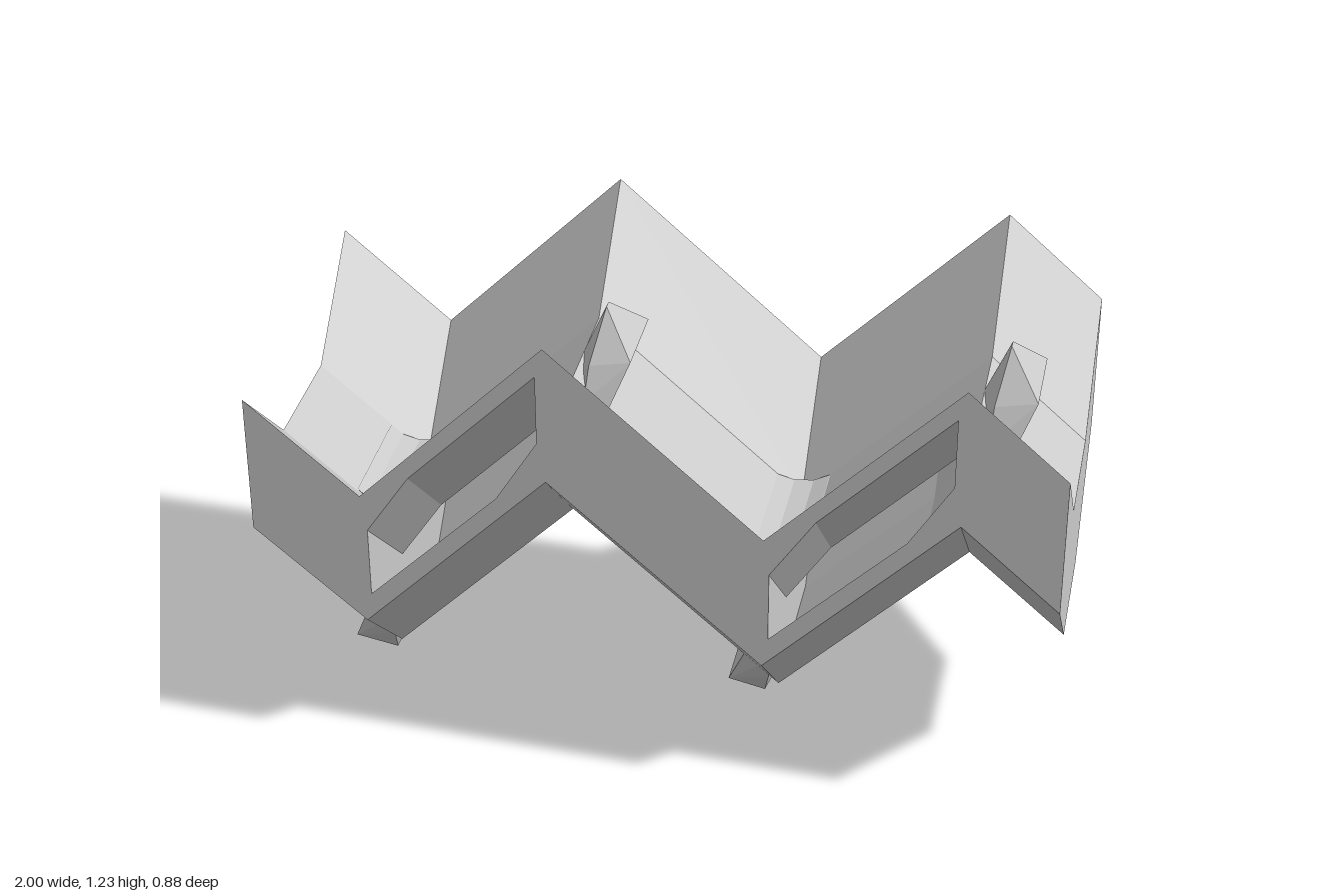
import * as THREE from 'three';
import { ConvexGeometry } from 'three/addons/geometries/ConvexGeometry.js';

const PITCH = 1.003; // length of one zigzag
const THICK = 0.37;  // vertical thickness of the band
const DROP = 0.255;  // how far the flat centre hangs below the side edges

const grey = new THREE.MeshStandardMaterial({ color: 0xcacaca, flatShading: true });
grey.name = 'light grey';

const named = (geometry, name) => {
  const mesh = new THREE.Mesh(geometry, grey);
  mesh.name = name;
  return mesh;
};
const vectors = (points) => points.map(([x, y]) => new THREE.Vector2(x, y));

// Zigzag band: side outline with slanted six-sided tunnels, swept through a V
function bandGeometry() {
  const top = [[-1, 1.006], [-0.72, 0.763], [-0.25, 1.233], [0.283, 0.763], [0.753, 1.233], [1, 1.016]];
  const bottom = top.map(([x, y]) => [x, y - THICK]).reverse();
  const shape = new THREE.Shape(vectors([...bottom, ...top]));
  // Counter-clockwise, opposite to the outline, so the tunnel walls face inwards
  const hole = [[-0.375, 0.8], [-0.27, 0.97], [-0.27, 1.155], [-0.595, 0.83], [-0.705, 0.665], [-0.705, 0.475]];
  for (const shift of [0, PITCH]) {
    shape.holes.push(new THREE.Path(vectors(hole.map(([x, y]) => [x + shift, y]))));
  }
  const geometry = new THREE.ExtrudeGeometry(shape, { depth: 3, steps: 3, bevelEnabled: false });
  const depths = [-0.44, -0.163, 0.163, 0.44];
  const p = geometry.attributes.position;
  for (let i = 0; i < p.count; i++) {
    const level = Math.round(p.getZ(i));
    p.setZ(i, depths[level]);
    if (level === 1 || level === 2) p.setY(i, p.getY(i) - DROP);
  }
  geometry.computeVertexNormals();
  return geometry;
}

// Tapered, faceted tongue whose root is buried in the band
function tongueGeometry() {
  const half = [
    [-0.19, 1.116, 0.012], [-0.11, 1.02, 0.11], [-0.215, 1.0, 0.11],
    [-0.16, 0.9, 0.15], [-0.22, 0.92, 0.155], [-0.185, 0.84, 0.16], [-0.265, 0.92, 0.04],
  ];
  const points = half.flatMap(([x, y, z]) => [new THREE.Vector3(x, y, z), new THREE.Vector3(x, y, -z)]);
  points.push(new THREE.Vector3(-0.25, 0.98, 0));
  return new ConvexGeometry(points);
}

// Shallow curved fill in the valley of the fold
function filletGeometry() {
  const shape = new THREE.Shape(vectors([
    [-0.72, 0.49], [-0.62, 0.59], [-0.65, 0.58], [-0.69, 0.56], [-0.74, 0.555], [-0.785, 0.567], [-0.815, 0.594],
  ]));
  const geometry = new THREE.ExtrudeGeometry(shape, { depth: 0.32, bevelEnabled: false });
  return geometry.translate(0, 0, -0.16);
}

export function createModel() {
  const model = new THREE.Group();
  model.name = 'zigzagLink';
  model.add(named(bandGeometry(), 'zigzagBand'));

  const tongue = tongueGeometry();
  const fillet = filletGeometry();
  for (let i = 0; i < 2; i++) {
    const unit = new THREE.Group();
    unit.name = 'tongueUnit';
    unit.position.x = i * PITCH;

    // The lower tongue is the upper one turned half way round
    const lower = named(tongue, 'lowerTongue');
    lower.rotation.z = Math.PI;
    lower.position.set(-0.97, 1.116, 0);
    unit.add(named(tongue, 'upperTongue'), lower, named(fillet, 'valleyFillet'));
    model.add(unit);
  }
  return model;
}
